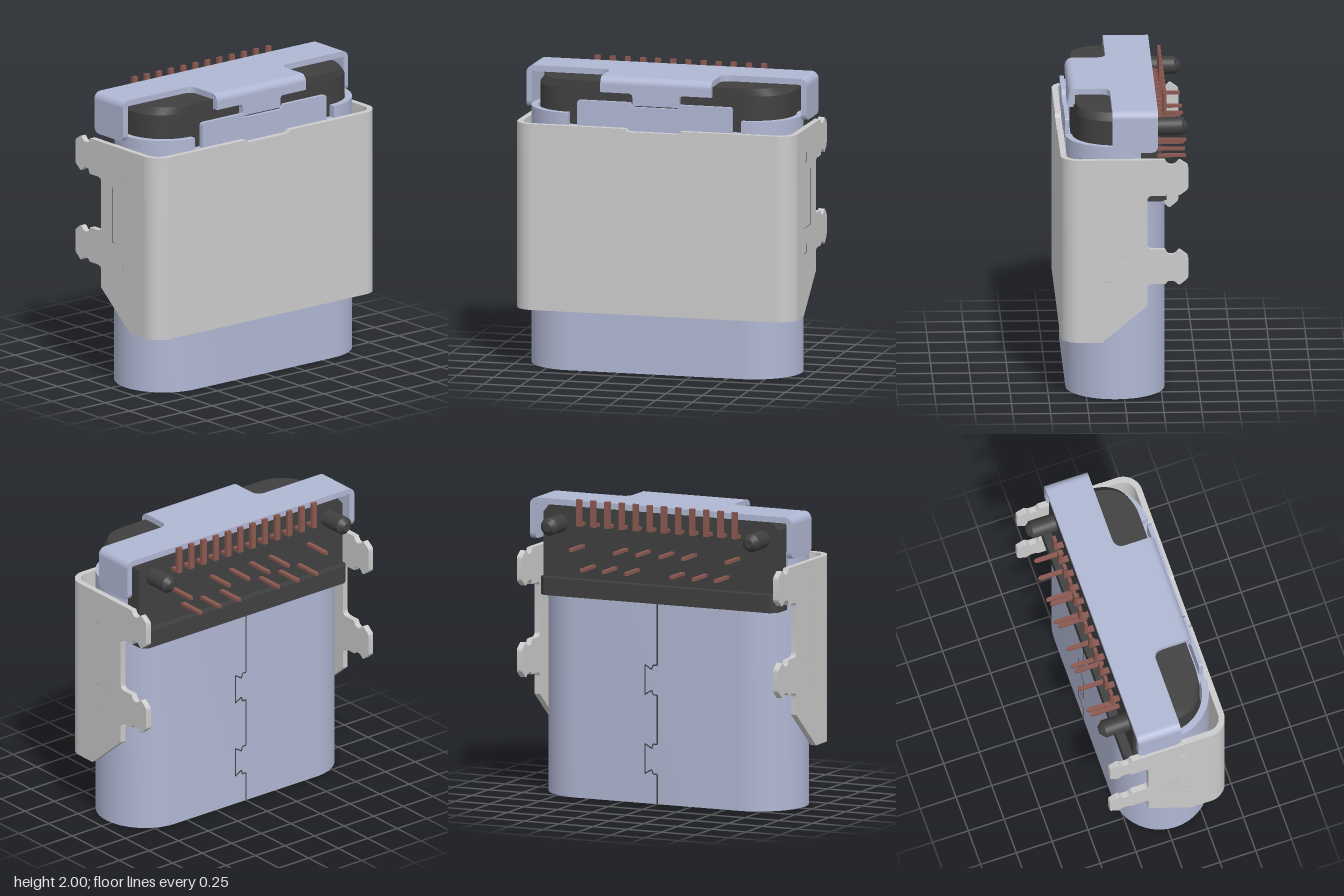
import * as THREE from 'three';
import { toCreasedNormals } from 'three/addons/utils/BufferGeometryUtils.js';

const mat = (name, color) => {
  const m = new THREE.MeshStandardMaterial({ color });
  m.name = name;
  return m;
};
const PI = Math.PI;

// Shape from corner points
const poly = (pts) => new THREE.Shape(pts.map(([a, b]) => new THREE.Vector2(a, b)));

// Polygon whose corners [a, b, r] are rounded by radius r
function rounded(pts) {
  const s = new THREE.Shape(), n = pts.length;
  pts.forEach(([a, b, r = 0], i) => {
    const p = new THREE.Vector2(a, b);
    const toward = (q) => new THREE.Vector2(q[0], q[1]).sub(p).setLength(r).add(p);
    const u = toward(pts[(i + n - 1) % n]), v = toward(pts[(i + 1) % n]);
    if (i) s.lineTo(u.x, u.y); else s.moveTo(u.x, u.y);
    if (r) s.quadraticCurveTo(a, b, v.x, v.y);
  });
  s.closePath();
  return s;
}

// Curved strip between two radii
function arcBand(cx, cy, R, r, a0, a1) {
  const s = new THREE.Shape();
  s.absarc(cx, cy, R, a0, a1, false);
  s.absarc(cx, cy, r, a1, a0, true);
  s.closePath();
  return s;
}

// Slot outline with round ends
function slot(L, cy, r, Type = THREE.Shape) {
  const s = new Type();
  s.absarc(L, cy, r, -PI / 2, PI / 2, false);
  s.absarc(-L, cy, r, PI / 2, 1.5 * PI, false);
  s.closePath();
  return s;
}

const extrude = (shape, depth) =>
  new THREE.ExtrudeGeometry(shape, { depth, bevelEnabled: false, curveSegments: 20 });
const crease = (g) => toCreasedNormals(g, 0.5);
// Plan shapes are drawn in (x, -z), side shapes in (z, y), front shapes in (x, y)
const plan = (s, y0, y1) => crease(extrude(s, y1 - y0).rotateX(-PI / 2).translate(0, y0, 0));
const side = (s, x0, x1) => crease(extrude(s, x1 - x0).rotateY(-PI / 2).translate(x1, 0, 0));
const front = (s, z0, z1) => crease(extrude(s, z1 - z0).translate(0, 0, z0));
const box = (x0, x1, y0, y1, z0, z1) => new THREE.BoxGeometry(x1 - x0, y1 - y0, z1 - z0)
  .translate((x0 + x1) / 2, (y0 + y1) / 2, (z0 + z1) / 2);

export function createModel() {
  const root = new THREE.Group();
  root.name = 'connector';
  const steel = mat('blueSteel', 0xb0b7d3);
  const plate = mat('greyPlate', 0xcbcbcb);
  const black = mat('blackPlastic', 0x404040);
  const copper = mat('copper', 0x8a5850);
  const group = (name) => {
    const g = new THREE.Group();
    g.name = name;
    root.add(g);
    return g;
  };
  const add = (parent, name, geo, m) => {
    const mesh = new THREE.Mesh(geo, m);
    mesh.name = name;
    parent.add(mesh);
  };

  // Inner shell: slot-shaped tube, open at the back near the top
  const shell = group('innerShell');
  const L = 0.5925, cy = -0.0525, R = 0.3275, r = 0.2825;
  const ring = slot(L, cy, R);
  ring.holes.push(slot(L, cy, r, THREE.Path));
  add(shell, 'shellTube', plan(ring, 0, 1.34), steel);
  add(shell, 'shellFrontWall', box(-L, L, 1.34, 1.65, 0.335, 0.38), steel);
  add(shell, 'shellLeftEnd', plan(arcBand(L, cy, R, r, -PI / 2, 0.52), 1.34, 1.73), steel);
  add(shell, 'shellRightEnd', plan(arcBand(-L, cy, R, r, PI - 0.52, 1.5 * PI), 1.34, 1.73), steel);
  add(shell, 'shellTab', front(rounded([[-0.53, 1.6], [0.53, 1.6], [0.53, 1.82, 0.02], [0.17, 1.82],
    [0.15, 1.79], [-0.15, 1.79], [-0.17, 1.82], [-0.53, 1.82, 0.02]]), 0.352, 0.38), steel);

  // Interlocking seam on the back of the shell
  const seam = [[0, 0], [0, 0.2], [0.03, 0.2], [0.04, 0.23], [0.09, 0.2], [0.09, 0.4], [0.04, 0.37], [0.03, 0.4],
    [0, 0.4], [0, 0.73], [0.03, 0.73], [0.04, 0.76], [0.09, 0.73], [0.09, 0.93], [0.04, 0.9], [0.03, 0.93],
    [0, 0.93], [0, 1.34]];
  const seamGroup = group('shellSeam');
  for (let i = 1; i < seam.length; i++) {
    const [a, b] = seam[i - 1], [c, d] = seam[i];
    const g = new THREE.BoxGeometry(0.008, Math.hypot(c - a, d - b), 0.003);
    g.rotateZ(-Math.atan2(c - a, d - b)).translate((a + c) / 2, (b + d) / 2, -0.275);
    add(seamGroup, 'seamLine', g, black);
  }

  // Outer grey plate: front wall, rounded corners and shaped side wings
  const outer = group('outerPlate');
  add(outer, 'plateFront', front(poly([[-0.83, 0.4], [0.83, 0.4], [0.83, 1.65], [0.19, 1.65], [0.17, 1.63],
    [-0.17, 1.63], [-0.19, 1.65], [-0.83, 1.65]]), 0.38, 0.42), plate);
  add(outer, 'plateLeftCorner', plan(arcBand(0.83, -0.29, 0.13, 0.09, -PI / 2, 0), 0.4, 1.65), plate);
  add(outer, 'plateRightCorner', plan(arcBand(-0.83, -0.29, 0.13, 0.09, PI, 1.5 * PI), 0.4, 1.65), plate);
  const wing = rounded([[0.29, 0.4], [0.15, 0.4], [-0.15, 0.65], [-0.15, 0.8, 0.035], [-0.27, 0.8],
    [-0.285, 0.82, 0.01], [-0.33, 0.82, 0.02], [-0.36, 0.79, 0.015], [-0.42, 0.84, 0.015], [-0.42, 0.99, 0.015],
    [-0.36, 1.035, 0.015], [-0.33, 1.0, 0.02], [-0.285, 1.0, 0.02], [-0.265, 1.037], [-0.15, 1.037, 0.035],
    [-0.15, 1.405, 0.035], [-0.27, 1.405], [-0.285, 1.44, 0.01], [-0.33, 1.44, 0.02], [-0.36, 1.405, 0.015],
    [-0.42, 1.45, 0.015], [-0.42, 1.61, 0.015], [-0.36, 1.65, 0.015], [-0.33, 1.615, 0.02],
    [-0.285, 1.615, 0.02], [-0.265, 1.65], [0.29, 1.65]]);
  const windows = [[0.075, 0.14, 1.43, 1.49], [-0.03, 0.14, 0.985, 1.365], [0.075, 0.14, 0.815, 0.875]];
  for (const [a, b, c, d] of windows) wing.holes.push(poly([[a, c], [a, d], [b, d], [b, c]]));
  for (const s of [-1, 1]) {
    add(outer, 'plateWing', side(wing, s * 0.94 - 0.02, s * 0.94 + 0.02), plate);
    for (const [a, b, c, d] of windows)
      add(outer, 'windowPanel', box(s * 0.938 - 0.018, s * 0.938 + 0.018, c, d, a, b), plate);
  }

  // Black plastic housing and tongue
  const housing = group('housing');
  const body = rounded([[-0.86, -0.31, 0.27], [0.86, -0.31, 0.27], [0.86, 0.22], [-0.86, 0.22]]);
  add(housing, 'housingBody', plan(body, 1.4, 1.89), black);
  const cap = extrude(body, 0.05).rotateX(-PI / 2).translate(0, 1.89, 0);
  const p = cap.attributes.position;
  for (let i = 0; i < p.count; i++) if (p.getY(i) > 1.92) p.setX(i, p.getX(i) * 0.953);
  cap.computeVertexNormals();
  add(housing, 'housingTop', crease(cap), black);
  add(housing, 'housingPlug', plan(slot(L, cy, r - 0.002), 1.15, 1.42), black);
  add(housing, 'housingBackLedge', plan(poly([[-0.87, 0.1], [0.87, 0.1], [0.87, 0.24], [0.83, 0.28],
    [-0.83, 0.28], [-0.87, 0.24]]), 1.341, 1.46), black);
  add(housing, 'tongue', side(rounded([[-0.015, 1.2], [-0.015, 0.2, 0.03], [0.12, 0.2, 0.03], [0.12, 1.2]]),
    -0.65, 0.65), black);

  // Locating posts on the back
  const postProfile = [[0, 0], [0.06, 0], [0.06, 0.185], [0.028, 0.22], [0, 0.22]]
    .map(([a, b]) => new THREE.Vector2(a, b));
  for (const s of [-1, 1]) {
    const g = new THREE.LatheGeometry(postProfile, 32).rotateX(-PI / 2).translate(s * 0.74, 1.82, -0.2);
    add(housing, 'locatingPost', crease(g), black);
  }

  // Top cover: roof, bent edges, side flaps and front lip
  const cover = group('topCover');
  add(cover, 'coverRoof', plan(rounded([[-0.91, 0.22], [-0.91, -0.08], [-0.38, -0.08, 0.07], [-0.38, -0.3],
    [0.38, -0.3], [0.38, -0.08, 0.07], [0.91, -0.08], [0.91, 0.22]].reverse()), 1.94, 1.98), steel);
  add(cover, 'coverLeftBend', front(arcBand(0.91, 1.93, 0.05, 0.01, 0, PI / 2), -0.22, 0.08), steel);
  add(cover, 'coverRightBend', front(arcBand(-0.91, 1.93, 0.05, 0.01, PI / 2, PI), -0.22, 0.08), steel);
  const flap = rounded([[-0.22, 1.93], [-0.22, 1.7, 0.05], [0.08, 1.7, 0.05], [0.08, 1.93]]);
  add(cover, 'leftFlap', side(flap, 0.92, 0.96), steel);
  add(cover, 'rightFlap', side(flap, -0.96, -0.92), steel);
  add(cover, 'lipBend', side(arcBand(0.3, 1.93, 0.05, 0.01, 0, PI / 2), -0.38, 0.38), steel);
  add(cover, 'frontLip', front(rounded([[-0.38, 1.93], [-0.38, 1.875], [-0.16, 1.875, 0.03], [-0.16, 1.795],
    [0.16, 1.795], [0.16, 1.875, 0.03], [0.38, 1.875], [0.38, 1.93]]), 0.31, 0.35), steel);

  // Twelve upright pins bent up from the back face
  const pins = group('pins');
  for (let i = 0; i < 12; i++) {
    const x = -0.57 + i * (1.14 / 11);
    add(pins, 'uprightPin', side(poly([[-0.2, 1.82], [-0.29, 1.82], [-0.29, 2], [-0.268, 2], [-0.268, 1.842],
      [-0.2, 1.842]]), x - 0.019, x + 0.019), copper);
  }
  // Two rows of straight pins pointing backward
  const rows = [[1.68, [0.085, 0.25, 0.57]], [1.55, [0.165, 0.33, 0.49]]];
  for (const [y, xs] of rows) for (const a of xs) for (const x of [-a, a]) {
    const pin = poly([[x - 0.014, 0.2], [x + 0.014, 0.2], [x + 0.014, 0.405], [x + 0.006, 0.42],
      [x - 0.006, 0.42], [x - 0.014, 0.405]]);
    add(pins, 'straightPin', plan(pin, y - 0.01, y + 0.01), copper);
  }
  return root;
}
